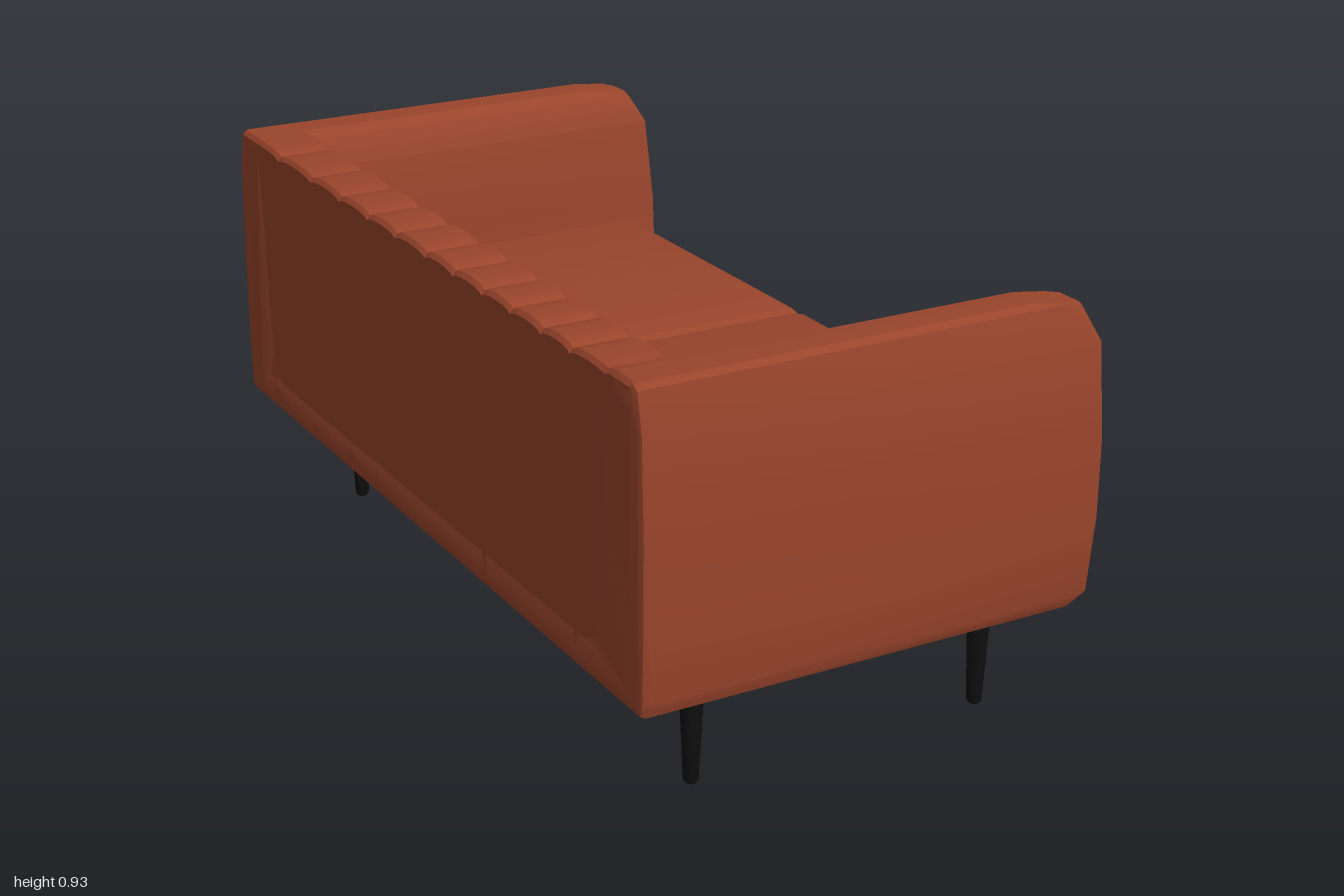
import * as THREE from 'three';
import { toCreasedNormals } from 'three/addons/utils/BufferGeometryUtils.js';

const leather = new THREE.MeshStandardMaterial({ color: 0x9a452c });
const black = new THREE.MeshStandardMaterial({ color: 0x111111 });

function part(name, geometry, material = leather) {
  const mesh = new THREE.Mesh(geometry, material);
  mesh.name = name;
  return mesh;
}

// Linear interpolation through [key, value] pairs
function lookup(table, k) {
  if (k <= table[0][0]) return table[0][1];
  for (let i = 1; i < table.length; i++) {
    const [k0, v0] = table[i - 1], [k1, v1] = table[i];
    if (k <= k1) return v0 + (v1 - v0) * (k - k0) / (k1 - k0);
  }
  return table[table.length - 1][1];
}

// Base and both arms: one U-shaped outline run from back to front
function frameGeometry() {
  const half = [
    [0.985, 0.258], [0.995, 0.285], [1, 0.45], [1, 0.62], [0.992, 0.83], [0.975, 0.915], [0.96, 0.925],
    [0.885, 0.925], [0.865, 0.905], [0.838, 0.84], [0.828, 0.64], [0.812, 0.41], [0.8, 0.372], [0.77, 0.352],
  ];
  const outline = [...half, ...half.map(([z, y]) => [-z, y]).reverse()];
  const shape = new THREE.Shape(outline.map(([z, y]) => new THREE.Vector2(z, y)));
  const bevel = 0.016;
  const geo = new THREE.ExtrudeGeometry(shape, {
    depth: 1.06 - 2 * bevel, steps: 1, bevelEnabled: true, bevelSegments: 2,
    bevelSize: bevel, bevelThickness: bevel, bevelOffset: -bevel,
  });
  geo.translate(0, 0, bevel - 0.53);
  geo.rotateY(Math.PI / 2);
  // Lean the front back towards the top and tuck it in at the bottom
  const front = [[0.258, 0.485], [0.275, 0.515], [0.33, 0.53], [0.64, 0.53], [0.83, 0.517], [0.91, 0.475], [0.925, 0.38]];
  const p = geo.attributes.position;
  for (let i = 0; i < p.count; i++) {
    if (p.getX(i) > 0.4) p.setX(i, p.getX(i) - 0.53 + lookup(front, p.getY(i)));
  }
  geo.deleteAttribute('uv');
  return toCreasedNormals(geo, 0.5);
}

// Backrest: a profile swept across the width, swelling between the seams
function backGeometry() {
  const profile = [
    [-0.53, 0.28], [-0.53, 0.915], [-0.522, 0.925], [-0.405, 0.925], [-0.392, 0.905],
    [-0.37, 0.84], [-0.363, 0.66], [-0.342, 0.59], [-0.335, 0.34],
  ];
  const seams = [-0.87, -0.735, -0.54, -0.375, -0.22, -0.075, 0.075, 0.21, 0.345, 0.47, 0.6, 0.72, 0.87];
  const sections = [[-0.95, 1]];
  for (let i = 0; i < seams.length - 1; i++) {
    for (const t of [0, 0.08, 0.25, 0.5, 0.75, 0.92]) {
      const end = (i === 0 && t < 0.5);
      sections.push([seams[i] + t * (seams[i + 1] - seams[i]), end ? 1 : Math.sqrt(Math.sin(Math.PI * t))]);
    }
  }
  sections.push([0.87, 1], [0.95, 1]);
  const pos = [], index = [], n = profile.length;
  sections.forEach(([z, swell], k) => {
    profile.forEach(([x, y], j) => {
      const dip = 1 - swell;
      pos.push(x - (j > 3 ? 0.014 * dip : 0), y - (j > 0 && j < 5 ? 0.011 * dip : 0), z);
      if (k < sections.length - 1 && j < n - 1) {
        const a = k * n + j, c = a + n;
        index.push(a, c, a + 1, a + 1, c, c + 1);
      }
    });
  });
  const geo = new THREE.BufferGeometry();
  geo.setAttribute('position', new THREE.Float32BufferAttribute(pos, 3));
  geo.setIndex(index);
  return toCreasedNormals(geo, 0.55);
}

// Seat cushion: rounded side profile with softened ends
function cushionGeometry(width) {
  const x0 = -0.335, x1 = 0.46, y0 = 0.355, y1 = 0.602, r = 0.04, bevel = 0.02;
  const s = new THREE.Shape();
  s.moveTo(x0 + r, y0);
  s.lineTo(x1 - r, y0);
  s.quadraticCurveTo(x1, y0, x1, y0 + r);
  s.lineTo(x1, y1 - 0.06);
  s.quadraticCurveTo(x1, y1, x1 - r, y1);
  s.lineTo(x0 + r, y1);
  s.quadraticCurveTo(x0, y1, x0, y1 - r);
  s.lineTo(x0, y0 + r);
  s.quadraticCurveTo(x0, y0, x0 + r, y0);
  const geo = new THREE.ExtrudeGeometry(s, {
    depth: width - 2 * bevel, curveSegments: 4, bevelEnabled: true, bevelSegments: 3,
    bevelSize: bevel, bevelThickness: bevel, bevelOffset: -bevel,
  });
  geo.translate(0, 0, bevel - width / 2);
  geo.deleteAttribute('uv');
  return toCreasedNormals(geo, 0.6);
}

// Tapered round leg with a softened foot
function legGeometry() {
  const points = [[0, 0], [0.012, 0], [0.016, 0.006], [0.028, 0.262], [0, 0.262]];
  const geo = new THREE.LatheGeometry(points.map(([r, y]) => new THREE.Vector2(r, y)), 16);
  return toCreasedNormals(geo, 0.6);
}

export function createModel() {
  const sofa = new THREE.Group();
  sofa.name = 'sofa';
  sofa.add(part('baseAndArms', frameGeometry()));
  sofa.add(part('channelledBack', backGeometry()));

  const cushion = cushionGeometry(0.8);
  for (const side of [-1, 1]) {
    const seat = part(side > 0 ? 'seatCushionA' : 'seatCushionB', cushion);
    seat.position.z = side * 0.405;
    sofa.add(seat);
  }

  const leg = legGeometry();
  for (const x of [-0.33, 0.36]) {
    for (const z of [-0.79, 0.84]) {
      const mesh = part(x > 0 ? 'frontLeg' : 'backLeg', leg, black);
      mesh.position.set(x, 0, z);
      sofa.add(mesh);
    }
  }
  return sofa;
}
